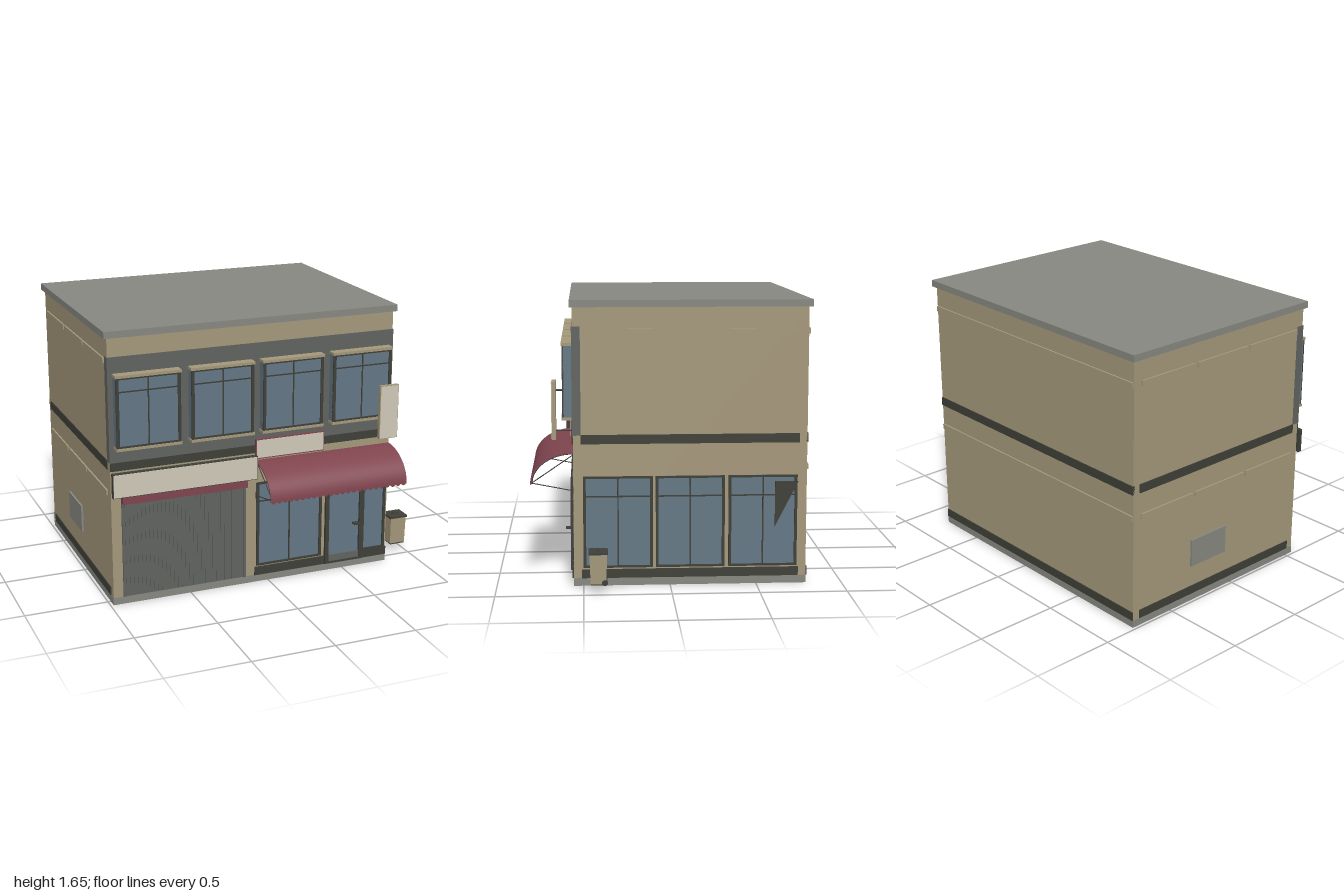
import * as THREE from 'three';
import { toCreasedNormals } from 'three/addons/utils/BufferGeometryUtils.js';

const mat = (name, color, side = THREE.FrontSide) => {
  const m = new THREE.MeshStandardMaterial({ color, side });
  m.name = name;
  return m;
};

export function createModel() {
  const tan = mat('tan wall', 0xa5997b);
  const grey = mat('slate grey', 0x616461);
  const stone = mat('stone grey', 0x888882);
  const dark = mat('dark trim', 0x3f4039);
  const glass = mat('blue glass', 0x647886);
  const red = mat('awning red', 0x80454f, THREE.DoubleSide);
  const cream = mat('cream sign', 0xd0cab8);

  const root = new THREE.Group();
  root.name = 'shopBuilding';
  const add = (name, geo, m, parent = root) => {
    const mesh = new THREE.Mesh(geo, m);
    mesh.name = name;
    parent.add(mesh);
    return mesh;
  };
  const group = (name) => {
    const g = new THREE.Group();
    g.name = name;
    root.add(g);
    return g;
  };
  // box from its limits on each axis
  const box = (name, m, x0, x1, y0, y1, z0, z1, parent = root) => {
    const mesh = add(name, new THREE.BoxGeometry(x1 - x0, y1 - y0, z1 - z0), m, parent);
    mesh.position.set((x0 + x1) / 2, (y0 + y1) / 2, (z0 + z1) / 2);
    return mesh;
  };
  // round bar between two points
  const rod = (name, a, b, r, parent = root) => {
    const p = new THREE.Vector3(...a), q = new THREE.Vector3(...b);
    const mesh = add(name, new THREE.CylinderGeometry(r, r, p.distanceTo(q), 8), dark, parent);
    mesh.position.copy(p).lerp(q, 0.5);
    mesh.quaternion.setFromUnitVectors(new THREE.Vector3(0, 1, 0), q.sub(p).normalize());
    return mesh;
  };
  // glazed window in the local xy plane, with frame, mullion and transom
  const makeWindow = (name, x0, x1, y0, y1, transom, mullion = true, bar = 0.016, depth = 0.012) => {
    const g = group(name);
    box('glass', glass, x0, x1, y0, y1, -0.005, 0.003, g);
    box('frameLeft', dark, x0, x0 + bar, y0, y1, 0, depth, g);
    box('frameRight', dark, x1 - bar, x1, y0, y1, 0, depth, g);
    box('frameBottom', dark, x0 + bar, x1 - bar, y0, y0 + 0.012, 0, depth, g);
    box('frameTop', dark, x0 + bar, x1 - bar, y1 - 0.012, y1, 0, depth, g);
    const xm = (x0 + x1) / 2;
    if (mullion) box('mullion', dark, xm - 0.004, xm + 0.004, y0, y1, 0, depth - 0.003, g);
    if (transom) box('transom', dark, x0, x1, transom - 0.004, transom + 0.004, 0, depth - 0.004, g);
    return g;
  };

  // main body
  box('foundation', stone, -0.982, 0.802, 0, 0.045, -0.792, 0.557);
  box('walls', tan, -0.98, 0.8, 0.045, 1.61, -0.79, 0.555);
  box('roofSlab', stone, -1, 0.82, 1.61, 1.65, -0.81, 0.57);
  box('upperFacade', grey, -0.983, 0.803, 0.88, 1.5, 0.51, 0.56);
  box('frontBand', dark, -0.98, 0.8, 0.83, 0.88, 0.55, 0.562);

  // dark bands and raised strips around the sides and back
  for (const [y0, y1] of [[0.045, 0.097], [0.83, 0.883]]) {
    box('rightBand', dark, 0.79, 0.805, y0, y1, -0.745, 0.51);
    box('leftBand', dark, -0.985, -0.97, y0, y1, -0.745, 0.51);
    box('backBand', dark, -0.98, 0.8, y0, y1, -0.796, -0.78);
  }
  const bays = [[0.1, 0.5], [-0.315, 0.083], [-0.735, -0.337]];
  for (const [z0, z1] of bays) {
    box('rightStrip', tan, 0.79, 0.81, 1.455, 1.487, z0, z1);
    for (const y of [0.67, 1.455]) box('leftStrip', tan, -0.99, -0.97, y, y + 0.032, z0, z1);
  }
  for (const y of [0.67, 1.455])
    for (const [x0, x1] of [[-0.975, -0.092], [-0.088, 0.795]])
      box('backStrip', tan, x0, x1, y, y + 0.032, -0.8, -0.78);
  box('wallVent', stone, -0.992, -0.97, 0.23, 0.4, -0.34, -0.06);

  // right side windows, turned to face +x, and a triangular plate
  for (const [z0, z1] of bays) {
    const w = makeWindow('sideWindow', -z1, -z0, 0.107, 0.642, 0.525);
    w.rotation.y = Math.PI / 2;
    w.position.x = 0.8;
  }
  const tri = new THREE.Shape([[0.605, 0.605], [0.605, 0.34], [0.74, 0.605]].map((p) => new THREE.Vector2(...p)));
  const plate = add('trianglePlate', new THREE.ExtrudeGeometry(tri, { depth: 0.006, bevelEnabled: false }), dark);
  plate.rotation.y = Math.PI / 2;
  plate.position.x = 0.809;

  // upper bay windows
  for (const x of [-0.76, -0.312, 0.13, 0.578]) {
    box('bayGlass', glass, x - 0.192, x + 0.192, 0.975, 1.395, 0.55, 0.605);
    const w = makeWindow('bayWindow', x - 0.192, x + 0.192, 0.978, 1.392, 1.308, true, 0.018, 0.009);
    w.position.z = 0.605;
    box('baySill', tan, x - 0.196, x + 0.196, 0.964, 0.98, 0.55, 0.619);
    box('bayLintel', tan, x - 0.196, x + 0.196, 1.39, 1.406, 0.55, 0.619);
  }

  // roller shutter with vertical ribs
  const shutter = group('rollerShutter');
  box('shutterPanel', grey, -0.92, -0.15, 0.045, 0.64, 0.54, 0.558, shutter);
  for (let i = 0; i < 30; i++) {
    const x = -0.9 + i * 0.0245;
    box('rib', grey, x, x + 0.014, 0.05, 0.625, 0.556, 0.561, shutter);
  }
  box('railLeft', grey, -0.92, -0.905, 0.045, 0.64, 0.55, 0.566, shutter);
  box('railRight', grey, -0.165, -0.15, 0.045, 0.64, 0.55, 0.566, shutter);
  box('shutterHood', red, -0.92, -0.15, 0.633, 0.715, 0.55, 0.597, shutter);

  // shop front
  box('shopPlinthLeft', dark, -0.09, 0.38, 0.045, 0.097, 0.55, 0.565);
  box('shopPlinthRight', dark, 0.62, 0.8, 0.045, 0.097, 0.55, 0.565);
  makeWindow('shopWindow', -0.08, 0.35, 0.107, 0.642, 0.522).position.z = 0.556;
  makeWindow('narrowWindow', 0.625, 0.787, 0.097, 0.642, 0.522, false).position.z = 0.556;
  makeWindow('doorTransom', 0.375, 0.63, 0.545, 0.642, 0, false).position.z = 0.556;
  makeWindow('door', 0.375, 0.63, 0.047, 0.555, 0, false, 0.024, 0.018).position.z = 0.556;
  box('doorKickPanel', grey, 0.399, 0.606, 0.059, 0.1, 0.556, 0.568);
  box('doorHandle', dark, 0.56, 0.598, 0.288, 0.298, 0.565, 0.602);

  // shop signs
  box('longSignBox', dark, -0.98, -0.09, 0.68, 0.825, 0.575, 0.603);
  box('longSignFace', cream, -0.976, -0.094, 0.684, 0.821, 0.6, 0.606);
  for (const x of [-0.85, -0.22]) box('longSignMount', dark, x, x + 0.03, 0.73, 0.77, 0.55, 0.58);
  box('shortSignBox', red, -0.09, 0.352, 0.795, 0.918, 0.55, 0.573);
  box('shortSignFace', cream, -0.085, 0.347, 0.802, 0.911, 0.57, 0.576);
  box('bladeSign', tan, 0.67, 0.793, 0.855, 1.187, 0.65, 0.673);
  box('bladeSignFace', cream, 0.674, 0.789, 0.859, 1.183, 0.67, 0.676);
  for (const y of [0.9, 1.133]) rod('bladeBracket', [0.73, y, 0.55], [0.73, y, 0.655], 0.005);

  // curved awning: quarter ellipse swept along x
  const awning = group('awning');
  const arc = (inset, n = 18) => Array.from({ length: n + 1 }, (_, i) => {
    const t = (i / n) * Math.PI / 2;
    return new THREE.Vector2(0.555 + (0.246 - inset) * Math.sin(t), 0.6 + (0.183 - inset) * Math.cos(t));
  });
  const section = new THREE.Shape([...arc(0), ...arc(0.008).reverse()]);
  const shell = new THREE.ExtrudeGeometry(section, { depth: 0.89, bevelEnabled: false });
  shell.rotateY(-Math.PI / 2).translate(0.8, 0, 0);
  add('canopy', toCreasedNormals(shell, 0.6), red, awning);
  const scallops = new THREE.Shape();
  scallops.moveTo(-0.09, 0.602);
  const n = 24, step = 0.89 / n;
  for (let i = 0; i < n; i++) {
    const x = -0.09 + i * step;
    scallops.quadraticCurveTo(x + step / 2, 0.574, x + step, 0.602);
  }
  add('valance', new THREE.ShapeGeometry(scallops, 5), red, awning).position.z = 0.798;
  for (const x of [-0.075, 0.785]) {
    const ribPath = new THREE.CatmullRomCurve3(arc(0.01, 8).map((p) => new THREE.Vector3(x, p.y, p.x)));
    add('awningRib', new THREE.TubeGeometry(ribPath, 18, 0.004, 6), dark, awning);
    rod('lowerStay', [x, 0.605, 0.793], [x, 0.558, 0.557], 0.003, awning);
    rod('upperStay', [x, 0.605, 0.793], [x, 0.765, 0.557], 0.003, awning);
    box('stayMount', dark, x - 0.008, x + 0.008, 0.54, 0.58, 0.55, 0.568, awning);
  }
  rod('awningFrontBar', [-0.085, 0.605, 0.793], [0.795, 0.605, 0.793], 0.003, awning);

  // wheeled bin
  const bin = group('wheeledBin');
  const body = new THREE.BoxGeometry(0.106, 0.175, 0.1);
  const pos = body.attributes.position;
  for (let i = 0; i < pos.count; i++)
    if (pos.getY(i) < 0) pos.setXYZ(i, pos.getX(i) * 0.95, pos.getY(i), pos.getZ(i) * 0.88);
  body.computeVertexNormals();
  add('binBody', body, tan, bin).position.set(0.94, 0.147, 0.417);
  box('binBase', dark, 0.892, 0.988, 0.052, 0.061, 0.375, 0.46, bin);
  box('binLid', dark, 0.88, 1, 0.231, 0.243, 0.362, 0.472, bin);
  box('lidGrip', dark, 0.92, 0.96, 0.241, 0.252, 0.412, 0.422, bin);
  for (const x of [0.893, 0.987]) {
    const wheel = add('binWheel', new THREE.CylinderGeometry(0.017, 0.017, 0.014, 16), dark, bin);
    wheel.rotation.z = Math.PI / 2;
    wheel.position.set(x, 0.067, 0.38);
  }
  return root;
}
